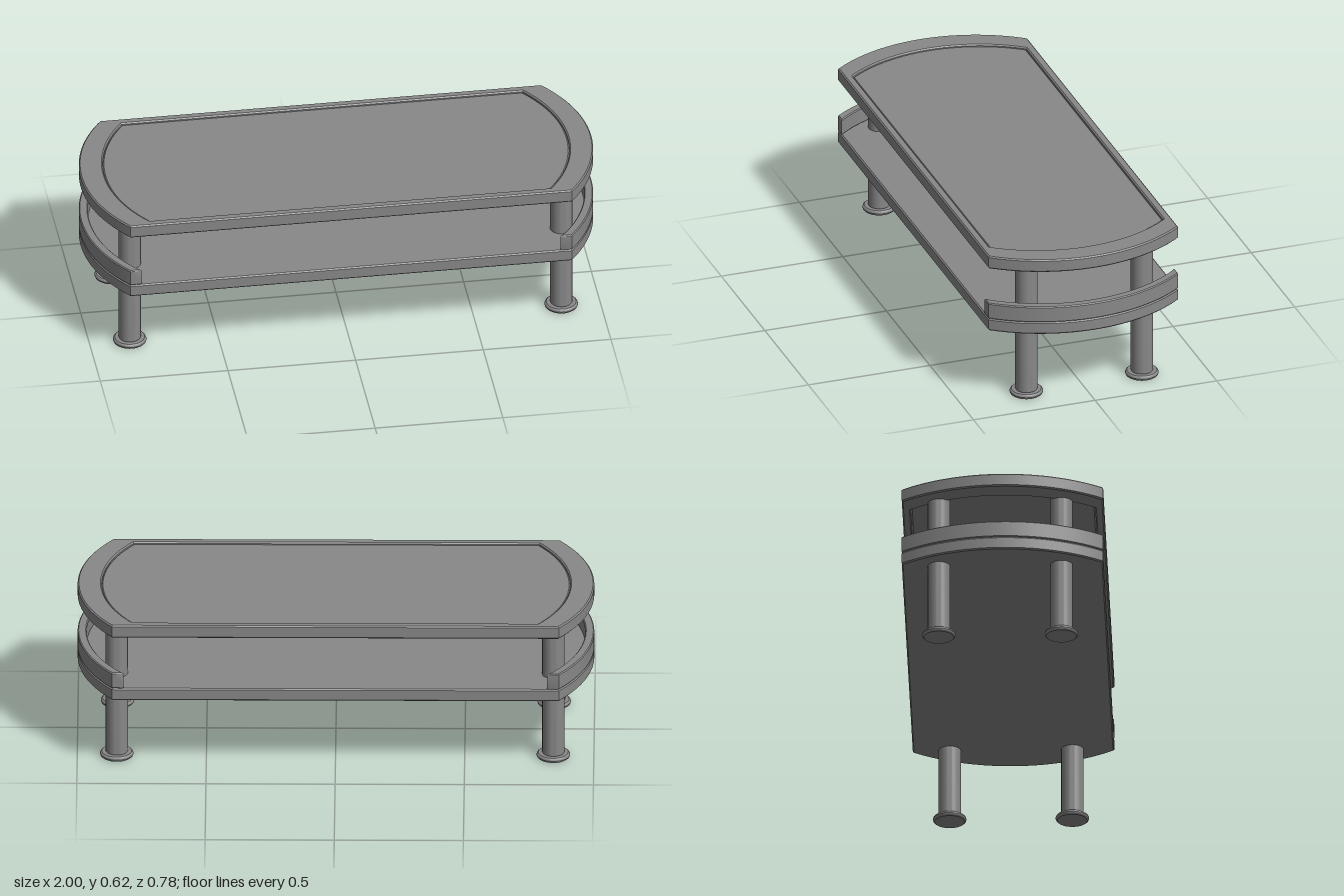
import * as THREE from 'three';
import { toCreasedNormals } from 'three/addons/utils/BufferGeometryUtils.js';

const material = new THREE.MeshStandardMaterial({ color: 0x888888 });

// End arc through (corner, ±half) and (end, 0)
function endArc(corner, half, end) {
  const sag = end - corner;
  const radius = (half * half + sag * sag) / (2 * sag);
  return { cx: end - radius, radius, angle: Math.asin(half / radius) };
}

// Straight long sides with bowed ends
function bowedOutline(corner, half, end, PathType = THREE.Shape) {
  const { cx, radius, angle } = endArc(corner, half, end);
  const path = new PathType();
  path.moveTo(corner, -half);
  path.absarc(cx, 0, radius, -angle, angle, false);
  path.lineTo(-corner, half);
  path.absarc(-cx, 0, radius, Math.PI - angle, Math.PI + angle, false);
  path.closePath();
  return path;
}

// Horizontal slab between two heights, with a fine bevel inside the outline
function slab(name, shape, y0, y1, bevel = 0.005) {
  const extruded = new THREE.ExtrudeGeometry(shape, {
    depth: y1 - y0 - 2 * bevel, curveSegments: 32,
    bevelSize: bevel, bevelThickness: bevel, bevelOffset: -bevel, bevelSegments: 1,
  });
  extruded.rotateX(-Math.PI / 2).translate(0, y0 + bevel, 0);
  const mesh = new THREE.Mesh(toCreasedNormals(extruded, 0.5), material);
  mesh.name = name;
  return mesh;
}

// Turned part from [radius, y] points
function turned(name, profile) {
  const points = profile.map(([r, y]) => new THREE.Vector2(r, y));
  const mesh = new THREE.Mesh(toCreasedNormals(new THREE.LatheGeometry(points, 40), 0.5), material);
  mesh.name = name;
  return mesh;
}

export function createModel() {
  const table = new THREE.Group();
  table.name = 'coffeeTable';

  // Table top: frame with a slightly recessed panel
  const frame = bowedOutline(0.865, 0.39, 1);
  frame.holes.push(bowedOutline(0.785, 0.357, 0.907, THREE.Path));
  table.add(slab('topFrame', frame, 0.572, 0.625));
  table.add(slab('topPanel', bowedOutline(0.785, 0.357, 0.907), 0.588, 0.618));

  // Lower shelf
  table.add(slab('shelf', bowedOutline(0.865, 0.39, 1), 0.304, 0.355));

  // Curved rails on both shelf ends, cut flush with the long sides
  const outer = endArc(0.865, 0.39, 1);
  const inner = endArc(0.82, 0.39, 0.965);
  for (const side of [1, -1]) {
    const turn = side > 0 ? 0 : Math.PI;
    const band = new THREE.Shape();
    band.absarc(side * outer.cx, 0, outer.radius, turn - outer.angle, turn + outer.angle, false);
    band.absarc(side * inner.cx, 0, inner.radius, turn + inner.angle, turn - inner.angle, true);
    band.closePath();
    table.add(slab(side > 0 ? 'leftRail' : 'rightRail', band, 0.355, 0.422, 0.004));
  }

  // Legs running up through the shelf, each on a round foot
  for (const x of [0.847, -0.843]) {
    for (const z of [0.228, -0.247]) {
      const leg = new THREE.Group();
      leg.name = (z > 0 ? 'front' : 'back') + (x > 0 ? 'Left' : 'Right') + 'Leg';
      leg.add(turned('post', [[0, 0.018], [0.04, 0.018], [0.043, 0.023], [0.043, 0.592], [0, 0.592]]));
      leg.add(turned('foot', [[0, 0], [0.058, 0], [0.063, 0.004], [0.065, 0.01], [0.063, 0.016],
        [0.058, 0.02], [0, 0.02]]));
      leg.position.set(x, 0, z);
      table.add(leg);
    }
  }
  return table;
}
